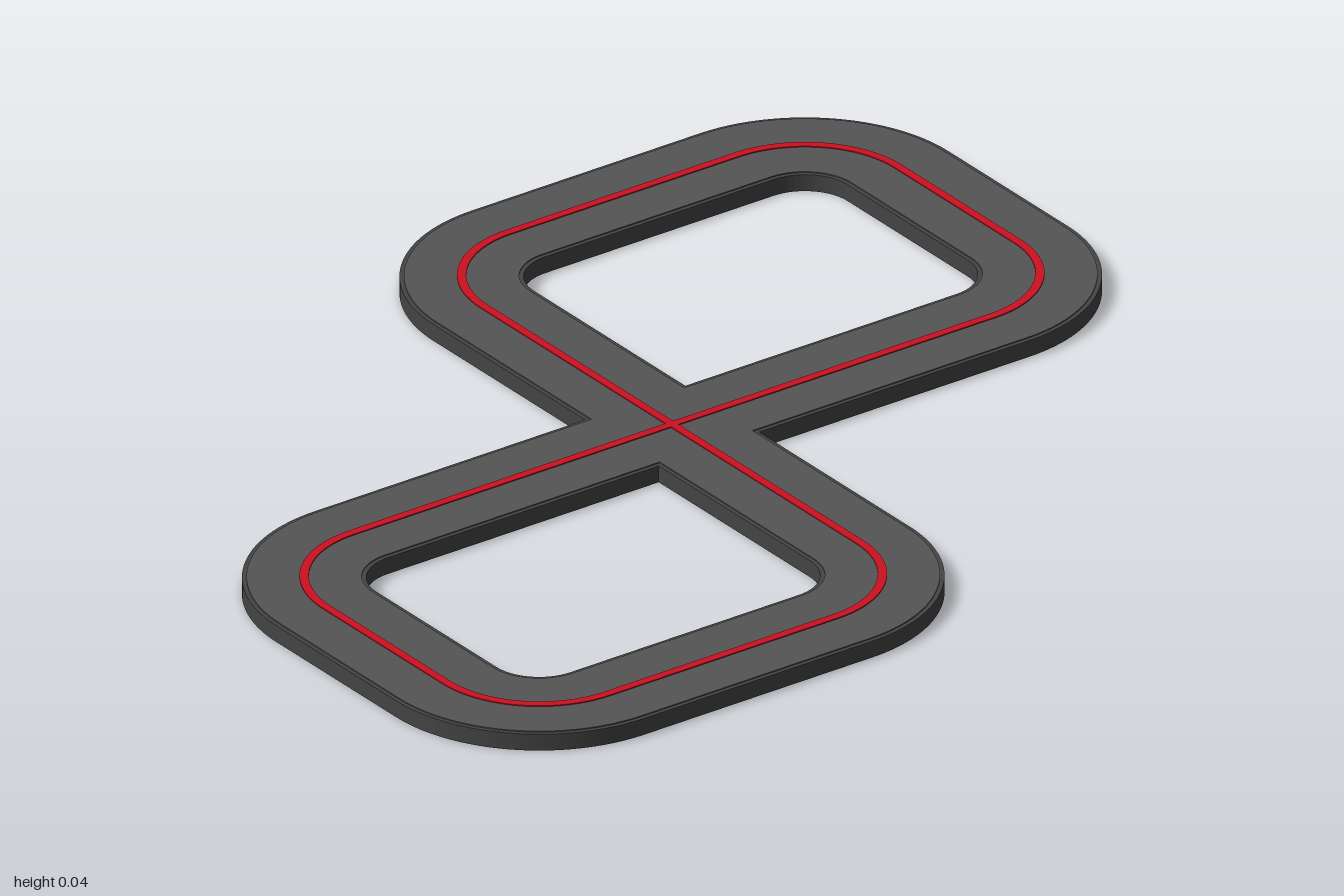
import * as THREE from 'three';
import { toCreasedNormals } from 'three/addons/utils/BufferGeometryUtils.js';

const LENGTH = 0.892, DEPTH = 0.752, RADIUS = 0.2; // centre line of one loop

// Trace a closed polygon of [x, y, radius] corners; radius 0 stays sharp.
function trace(path, corners) {
  const n = corners.length;
  corners.forEach(([x, y, r], i) => {
    const p = new THREE.Vector2(x, y);
    const towards = ([qx, qy]) => new THREE.Vector2(qx, qy).sub(p).normalize().multiplyScalar(r);
    const a = towards(corners[(i + n - 1) % n]).add(p);
    const dirOut = towards(corners[(i + 1) % n]);
    const b = dirOut.clone().add(p);
    if (i === 0) path.moveTo(a.x, a.y);
    else path.lineTo(a.x, a.y);
    if (r > 0) {
      const c = a.clone().add(dirOut); // arc centre
      const start = Math.atan2(a.y - c.y, a.x - c.x);
      const end = Math.atan2(b.y - c.y, b.x - c.x);
      const cross = (p.x - a.x) * (b.y - p.y) - (p.y - a.y) * (b.x - p.x);
      path.absarc(c.x, c.y, r, start, end, cross < 0);
    }
  });
  path.closePath();
  return path;
}

// Figure-eight band of half-width h, lying flat between two heights.
function band(name, h, bottom, top, color) {
  const X = LENGTH + h, Y = DEPTH + h, x = LENGTH - h, y = DEPTH - h;
  const R = RADIUS + h, r = RADIUS - h;
  const half = [[-h, h, 0], [-h, Y, R], [X, Y, R], [X, -h, R]];
  const mirror = (list) => list.map(([px, py, pr]) => [-px, -py, pr]);
  const shape = trace(new THREE.Shape(), [...half, ...mirror(half)]);
  const hole = [[h, h, 0], [x, h, r], [x, y, r], [h, y, r]];
  shape.holes.push(trace(new THREE.Path(), hole), trace(new THREE.Path(), mirror(hole)));

  const extruded = new THREE.ExtrudeGeometry(shape, {
    depth: top - bottom, bevelEnabled: false, curveSegments: 16,
  });
  const geometry = toCreasedNormals(extruded, 0.5);
  geometry.rotateX(-Math.PI / 2).translate(0, bottom, 0);
  const mesh = new THREE.Mesh(geometry, new THREE.MeshStandardMaterial({ color }));
  mesh.name = name;
  return mesh;
}

export function createModel() {
  const group = new THREE.Group();
  group.name = 'figureEightTrack';
  group.add(
    band('trackBase', 0.108, 0, 0.032, 0x444444),       // slab with dark rim
    band('roadSurface', 0.1, 0.03, 0.034, 0x555555),    // slightly inset top
    band('centreLine', 0.008, 0.032, 0.036, 0xcc1122),  // red guide line
  );
  return group;
}
